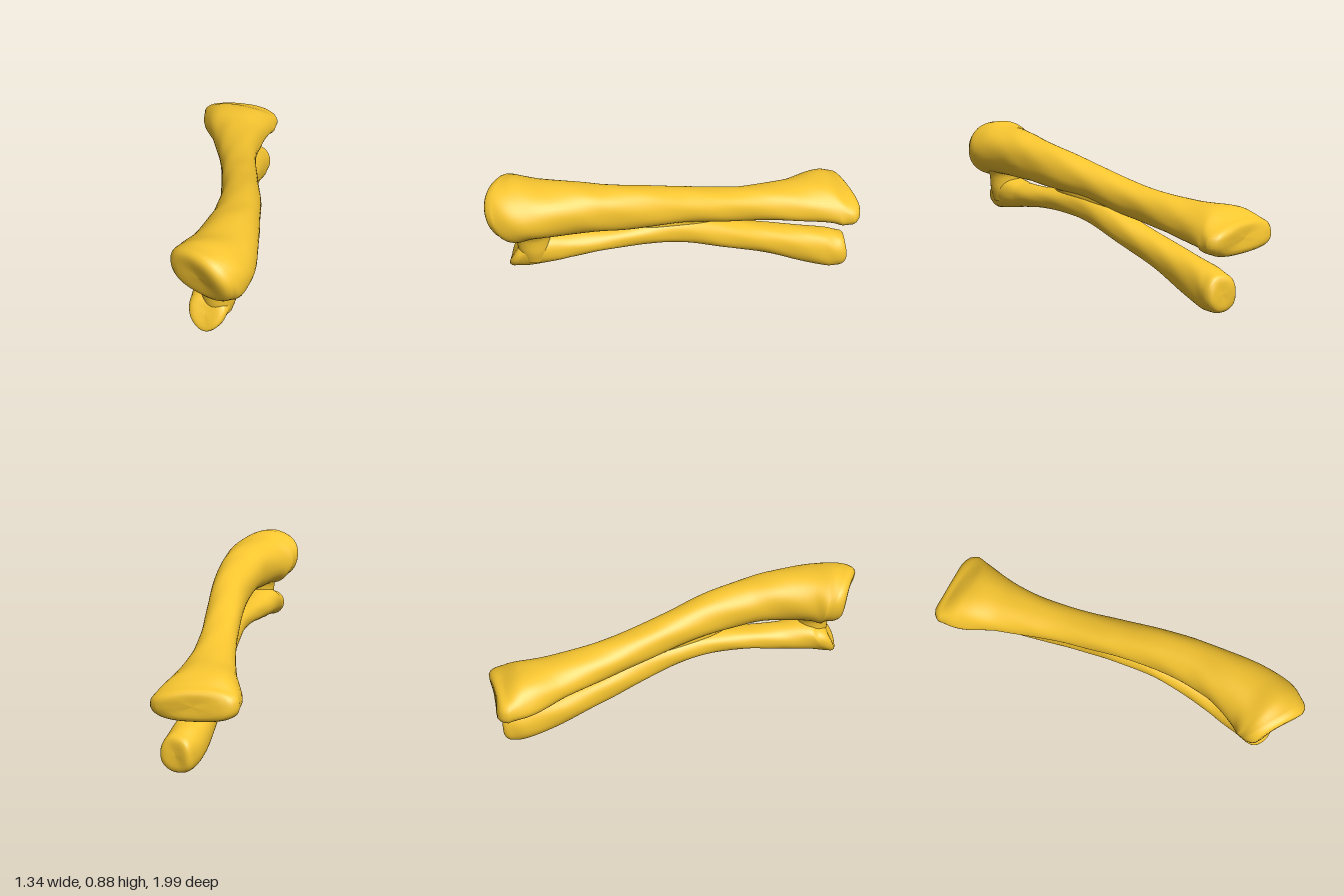
import * as THREE from 'three';

const SIDES = 44, STEPS = 90;
const soften = (v, power) => Math.sign(v) * Math.abs(v) ** power; // power below 1 gives a boxier ellipse
const curveOf = (stations, k) => new THREE.CatmullRomCurve3(stations.map(s => new THREE.Vector3(s[k], s[k + 1], s[k + 2])));

// Lofts a shaft through stations listed back to front:
// [x, y, z, halfWidth, halfHeight, taper, power, roll, lean]
// taper widens the underside, roll raises the +x side, lean pushes the underside forward.
function loftBone(stations, material, name, capDepth, seed) {
  const path = curveOf(stations, 0), sizes = curveOf(stations, 3), twists = curveOf(stations, 6);
  const up = new THREE.Vector3(0, 1, 0);
  const rings = [];
  // rounded, nearly flat end caps
  const cap = [[0.96, 0.4], [0.89, 0.72], [0.78, 0.95], [0.6, 1], [0.4, 0.95], [0.2, 0.9], [0.001, 0.88]];
  for (const [scale, out] of [...cap].reverse()) rings.push({ t: 0, scale, out: -out * capDepth });
  for (let i = 0; i <= STEPS; i++) rings.push({ t: i / STEPS, scale: 1, out: 0 });
  for (const [scale, out] of cap) rings.push({ t: 1, scale, out: out * capDepth });

  const positions = [], index = [];
  rings.forEach(({ t, scale, out }, i) => {
    const centre = path.getPoint(t), size = sizes.getPoint(t), twist = twists.getPoint(t);
    const along = path.getTangent(t).setY(0).normalize();
    const side = new THREE.Vector3().crossVectors(up, along);
    for (let j = 0; j < SIDES; j++) {
      const a = j / SIDES * Math.PI * 2;
      // gentle lumps on the surface
      const bump = 1 + 0.014 * Math.sin(3 * a + t * 17 + seed) + 0.01 * Math.sin(5 * a - t * 43 + seed);
      const c = soften(Math.cos(a), twist.x), s = soften(Math.sin(a), twist.x);
      const w = size.x * scale * bump * c * (1 - size.z * s);
      const h = size.y * scale * bump * s;
      const push = out * (1 + 0.2 * scale * Math.sin(2 * a + seed)) - twist.z * h;
      const p = centre.clone().addScaledVector(side, w).addScaledVector(up, h + w * twist.y).addScaledVector(along, push);
      positions.push(p.x, p.y, p.z);
      if (i < rings.length - 1) {
        const k = (j + 1) % SIDES, r = i * SIDES, n = r + SIDES;
        index.push(r + j, r + k, n + j, r + k, n + k, n + j);
      }
    }
  });
  const geometry = new THREE.BufferGeometry();
  geometry.setAttribute('position', new THREE.Float32BufferAttribute(positions, 3));
  geometry.setIndex(index);
  geometry.computeVertexNormals();
  const mesh = new THREE.Mesh(geometry, material);
  mesh.name = name;
  return mesh;
}

export function createModel() {
  const group = new THREE.Group();
  group.name = 'limbBones';
  const bone = new THREE.MeshStandardMaterial({ color: 0xf8c630 });

  // Thick upper bone with flared ends
  group.add(loftBone([
    [-0.463, 0.407, -0.865, 0.237, 0.092, 0.08, 0.82, -0.06, 0],
    [-0.417, 0.437, -0.77, 0.214, 0.112, 0.15, 0.82, -0.06, 0],
    [-0.31, 0.457, -0.60, 0.157, 0.102, 0.1, 0.86, -0.04, 0],
    [-0.185, 0.49, -0.40, 0.118, 0.098, 0.05, 0.9, 0, 0],
    [-0.05, 0.535, -0.20, 0.103, 0.099, 0, 0.9, 0, 0],
    [0.085, 0.6, 0.0, 0.104, 0.1, 0, 0.9, 0, 0],
    [0.22, 0.65, 0.20, 0.113, 0.118, 0, 0.9, 0, 0],
    [0.325, 0.687, 0.40, 0.127, 0.127, 0, 0.9, 0, 0],
    [0.388, 0.708, 0.55, 0.146, 0.14, 0, 0.92, 0, 0],
    [0.45, 0.715, 0.75, 0.19, 0.152, 0, 0.95, 0, 0],
    [0.463, 0.717, 0.85, 0.206, 0.167, 0, 0.95, -0.03, -0.12],
    [0.46, 0.722, 0.915, 0.197, 0.157, 0, 0.95, -0.04, -0.22],
  ], bone, 'upperBone', 0.05, 0.6));

  // Slender lower bone, bending down towards the back
  group.add(loftBone([
    [-0.353, 0.112, -0.88, 0.096, 0.105, 0, 0.86, 0, 0],
    [-0.328, 0.128, -0.79, 0.102, 0.118, 0, 0.88, 0, 0],
    [-0.25, 0.193, -0.60, 0.097, 0.106, 0, 0.9, 0, 0],
    [-0.145, 0.275, -0.40, 0.086, 0.09, 0, 0.9, 0, 0],
    [-0.025, 0.36, -0.20, 0.083, 0.088, 0, 0.9, 0, 0],
    [0.085, 0.44, 0.0, 0.083, 0.08, 0, 0.9, 0, 0],
    [0.195, 0.465, 0.20, 0.08, 0.067, 0, 0.9, 0, 0],
    [0.285, 0.46, 0.40, 0.082, 0.062, 0, 0.9, 0, 0],
    [0.36, 0.45, 0.60, 0.09, 0.074, 0, 0.9, 0, 0],
    [0.425, 0.445, 0.78, 0.108, 0.098, -0.15, 0.9, 0, 0.2],
    [0.44, 0.425, 0.855, 0.102, 0.092, -0.22, 0.9, 0, 0.5],
  ], bone, 'lowerBone', 0.035, 2.1));

  // Waisted joint between the two front heads
  const profile = [[0.07, 0.4], [0.09, 0.47], [0.094, 0.53], [0.1, 0.57], [0.125, 0.62], [0.14, 0.66]];
  const curve = new THREE.SplineCurve(profile.map(([r, y]) => new THREE.Vector2(r, y)));
  const joint = new THREE.Mesh(new THREE.LatheGeometry(curve.getPoints(16), 32), bone);
  joint.name = 'frontJoint';
  joint.position.set(0.455, 0, 0.77);
  group.add(joint);

  // Fused seam where the shafts touch
  const seam = new THREE.Mesh(new THREE.SphereGeometry(1, 28, 20), bone);
  seam.name = 'shaftSeam';
  seam.position.set(0.11, 0.515, 0.04);
  seam.scale.set(0.062, 0.06, 0.28);
  seam.rotation.set(-0.12, 0.53, 0, 'YXZ');
  group.add(seam);
  return group;
}
